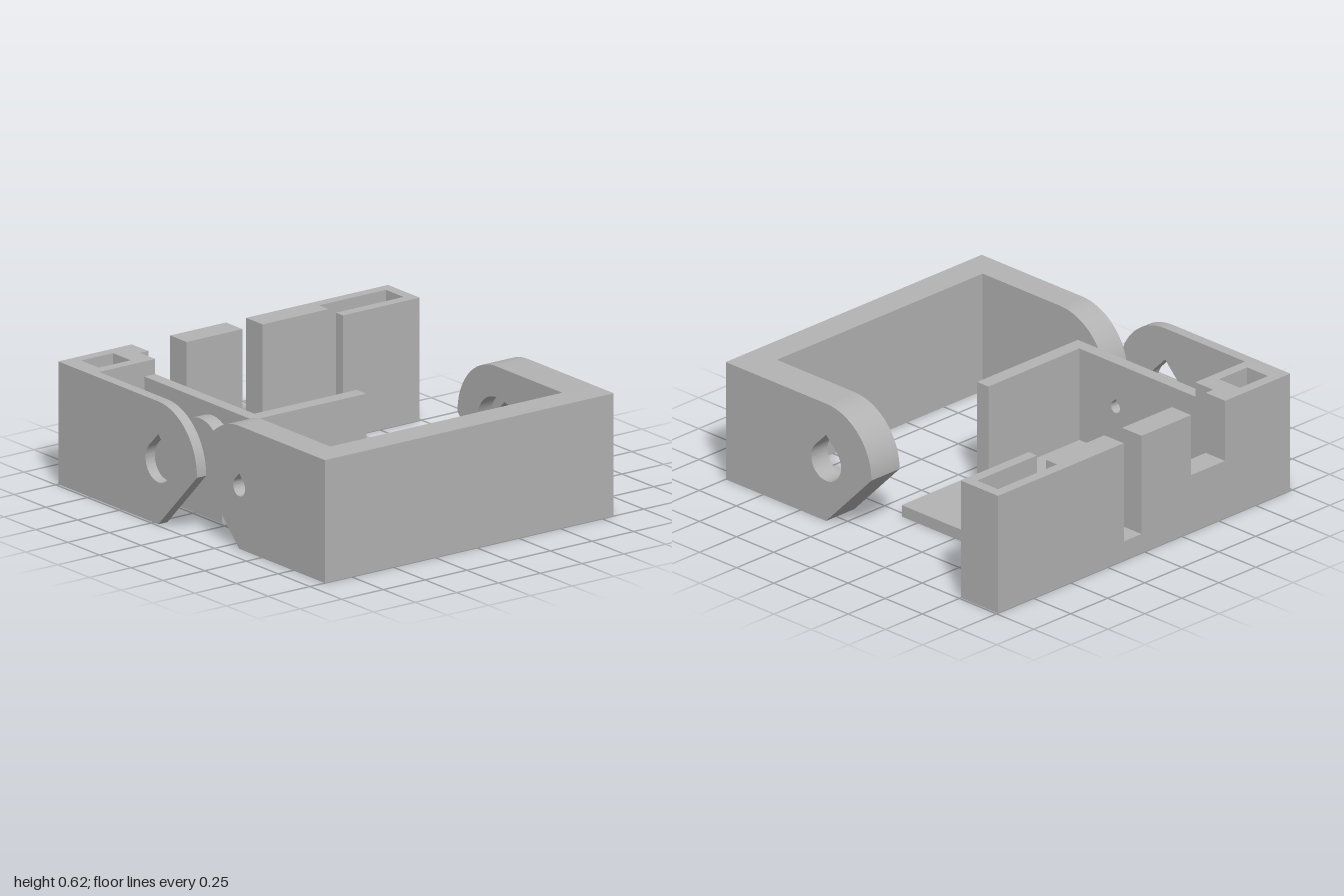
import * as THREE from 'three';
import { toCreasedNormals } from 'three/addons/utils/BufferGeometryUtils.js';

const H = 0.615;      // overall height
const AXIS = 0.31;    // pivot height
const FLOOR = 0.06;

export function createModel() {
  const root = new THREE.Group();
  root.name = 'hingedBracket';
  const grey = new THREE.MeshStandardMaterial({ color: 0xb3b3b3 });
  grey.name = 'plain grey';

  const add = (parent, name, geometry) => {
    const mesh = new THREE.Mesh(geometry, grey);
    mesh.name = name;
    parent.add(mesh);
    return mesh;
  };
  // box given by its limits
  const box = (parent, name, x0, x1, y0, y1, z0, z1) =>
    add(parent, name, new THREE.BoxGeometry(x1 - x0, y1 - y0, z1 - z0)
      .translate((x0 + x1) / 2, (y0 + y1) / 2, (z0 + z1) / 2));
  // outline in x/y extruded between two z limits
  const slab = (parent, name, shape, z0, z1) => {
    const g = new THREE.ExtrudeGeometry(shape, { depth: z1 - z0, bevelEnabled: false, curveSegments: 24 });
    g.translate(0, 0, z0);
    return add(parent, name, toCreasedNormals(g, 0.5));
  };
  // round hole with a pointed roof
  const teardrop = (x, r) => {
    const p = new THREE.Path();
    const k = r * Math.SQRT1_2;
    p.moveTo(x, AXIS + r * Math.SQRT2);
    p.lineTo(x - k, AXIS + k);
    p.absarc(x, AXIS, r, Math.PI * 0.75, Math.PI * 2.25, false);
    p.closePath();
    return p;
  };
  // keyhole recess tapering from the pivot towards the base
  const taperedRecess = (x, r, x2, r2) => {
    const p = new THREE.Path();
    const a = Math.acos((r - r2) / (x2 - x));
    p.absarc(x, AXIS, r, a, Math.PI * 2 - a, false);
    p.absarc(x2, AXIS, r2, -a, a, false);
    p.closePath();
    return p;
  };
  // arm with one quarter-round and one chamfered corner; dir is the way it points
  const armShape = (xEnd, xPivot, dir, hole) => {
    const s = new THREE.Shape();
    s.moveTo(xEnd, 0);
    s.lineTo(xPivot, 0);
    s.lineTo(xPivot + dir * 0.305, AXIS);
    s.absarc(xPivot, AXIS, 0.305, dir > 0 ? 0 : Math.PI, Math.PI / 2, dir < 0);
    s.lineTo(xEnd, H);
    s.closePath();
    s.holes.push(hole);
    return s;
  };

  // U-shaped bracket
  const yoke = new THREE.Group();
  yoke.name = 'yoke';
  root.add(yoke);
  const px = 0.325;
  box(yoke, 'yokeBase', 0.845, 1, 0, H, -0.63, 0.76);
  slab(yoke, 'yokeFrontArm', armShape(1, px, -1, teardrop(px, 0.047)), 0.76, 0.91);
  slab(yoke, 'yokeBackArmOuter', armShape(1, px, -1, teardrop(px, 0.1)), -0.82, -0.71);
  slab(yoke, 'yokeBackArmRecess', armShape(1, px, -1, taperedRecess(px, 0.15, 0.74, 0.08)), -0.71, -0.63);

  // Holder tray
  const tray = new THREE.Group();
  tray.name = 'tray';
  root.add(tray);
  const qx = -0.213;

  // floor with a cable hole and a channel beneath it
  box(tray, 'floorLeft', -0.87, -0.62, 0, FLOOR, -0.53, 0.595);
  box(tray, 'floorRight', -0.5, 0.105, 0, FLOOR, -0.53, 0.595);
  box(tray, 'floorBackStrip', -0.62, -0.5, 0, FLOOR, -0.53, -0.485);
  box(tray, 'channelRoof', -0.62, -0.5, 0.035, FLOOR, -0.39, 0.595);

  // front wall, notched for the channel, and its short return
  const wall = new THREE.Shape();
  [[-0.75, 0], [-0.62, 0], [-0.62, 0.035], [-0.5, 0.035], [-0.5, 0], [0.105, 0], [0.105, 0.54], [-0.75, 0.54]]
    .forEach(([x, y], i) => (i ? wall.lineTo(x, y) : wall.moveTo(x, y)));
  wall.closePath();
  wall.holes.push(teardrop(qx, 0.03));
  slab(tray, 'frontWall', wall, 0.595, 0.66);
  box(tray, 'wallReturn', 0.03, 0.105, FLOOR, 0.54, -0.02, 0.595);

  // pivot boss carried down to the ground
  const boss = new THREE.Shape();
  boss.moveTo(qx - 0.172, 0);
  boss.lineTo(qx + 0.172, 0);
  boss.absarc(qx, AXIS, 0.172, 0, Math.PI, false);
  boss.closePath();
  boss.holes.push(teardrop(qx, 0.03));
  slab(tray, 'pivotBoss', boss, 0.66, 0.735);

  // outer pivot plate
  slab(tray, 'pivotPlate', armShape(-1, qx, 1, teardrop(qx, 0.1)), 0.93, 0.985);

  // side wall with its tall gap and shallow notch
  [[-0.535, -0.14, H], [-0.14, -0.02, 0.1], [-0.02, 0.315, H], [0.315, 0.545, 0.3], [0.545, 0.595, H]]
    .forEach(([z0, z1, top]) => box(tray, 'sideWall', -1, -0.87, 0, top, z0, z1));

  // front pocket block
  box(tray, 'frontPocketFloor', -0.945, -0.805, 0, FLOOR, 0.7, 0.89);
  box(tray, 'frontPocketOuter', -1, -0.945, 0, H, 0.595, 0.93);
  box(tray, 'frontPocketInner', -0.805, -0.75, 0, H, 0.595, 0.93);
  box(tray, 'frontPocketBack', -0.945, -0.805, 0, H, 0.595, 0.7);
  box(tray, 'frontPocketFront', -0.945, -0.805, 0, H, 0.89, 0.93);

  // back pocket block, open towards the tray
  box(tray, 'backPocketFloor', -0.945, -0.805, 0, FLOOR, -0.935, -0.53);
  box(tray, 'backPocketOuter', -1, -0.945, 0, H, -0.99, -0.535);
  box(tray, 'backPocketInner', -0.805, -0.75, 0, H, -0.99, -0.53);
  box(tray, 'backPocketEnd', -0.945, -0.805, 0, H, -0.99, -0.935);

  return root;
}
